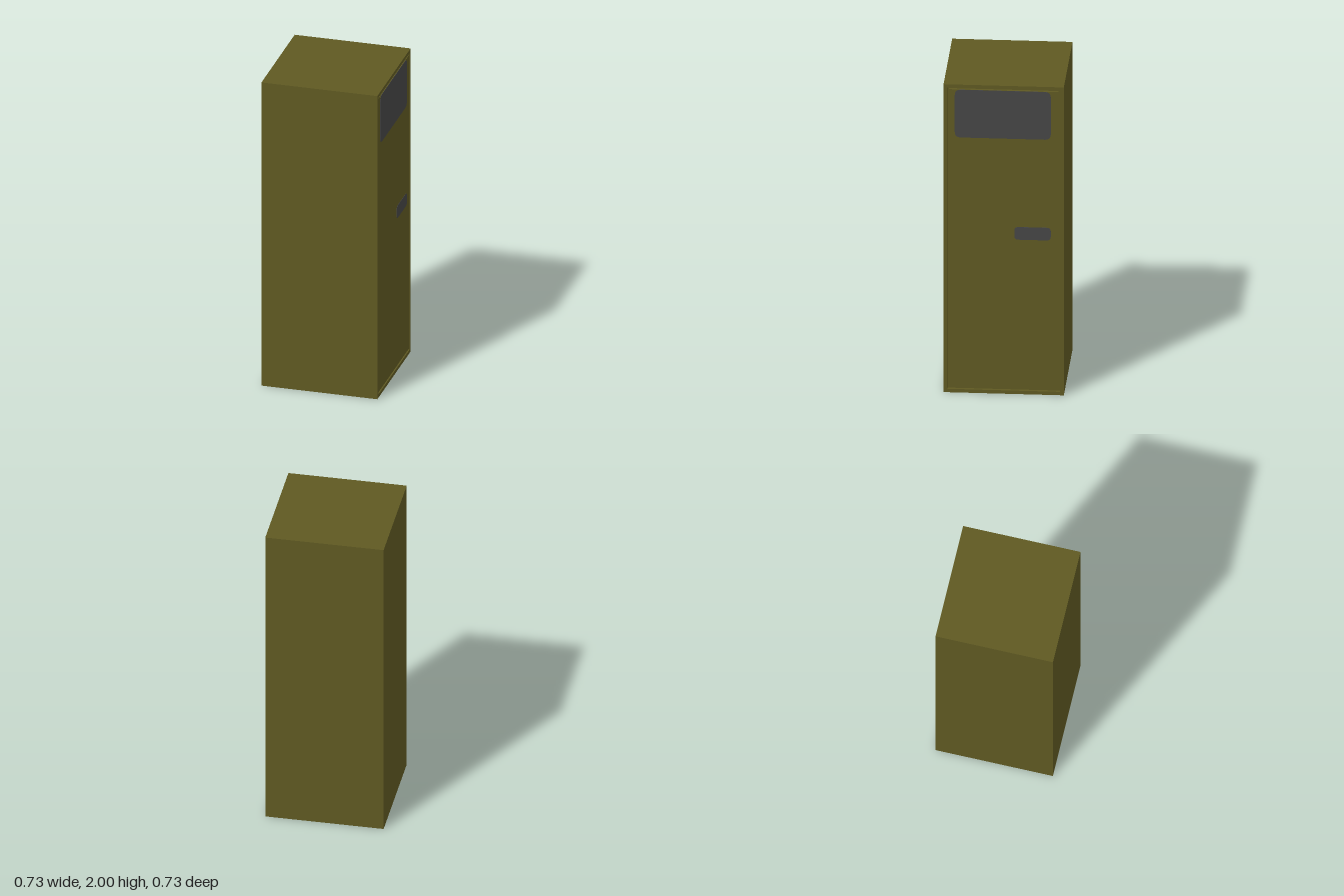
import * as THREE from 'three';

const WIDTH = 0.725, HEIGHT = 2, HALF = WIDTH / 2;
const RIM = 0.022, GAP = 0.01, RECESS = 0.02;

// Rectangle outline in the door plane: u runs towards -z, v runs up
function rectangle(target, u0, v0, u1, v1) {
  target.moveTo(u0, v0);
  target.lineTo(u1, v0);
  target.lineTo(u1, v1);
  target.lineTo(u0, v1);
  target.closePath();
  return target;
}

// Rectangle with softly rounded corners, for the painted details
function roundedRectangle(u0, v0, u1, v1, r) {
  const s = new THREE.Shape();
  s.moveTo(u0 + r, v0);
  s.lineTo(u1 - r, v0);
  s.quadraticCurveTo(u1, v0, u1, v0 + r);
  s.lineTo(u1, v1 - r);
  s.quadraticCurveTo(u1, v1, u1 - r, v1);
  s.lineTo(u0 + r, v1);
  s.quadraticCurveTo(u0, v1, u0, v1 - r);
  s.lineTo(u0, v0 + r);
  s.quadraticCurveTo(u0, v0, u0 + r, v0);
  return s;
}

export function createModel() {
  const model = new THREE.Group();
  model.name = 'locker';

  const olive = new THREE.MeshStandardMaterial({ color: 0x5f5922 });
  olive.name = 'olive paint';
  const grey = new THREE.MeshStandardMaterial({ color: 0x464646 });
  grey.name = 'dark grey';

  function add(name, geometry, material) {
    const mesh = new THREE.Mesh(geometry, material);
    mesh.name = name;
    model.add(mesh);
    return mesh;
  }

  // Closed cabinet body
  const body = add('cabinetBody', new THREE.BoxGeometry(WIDTH - RECESS, HEIGHT, WIDTH), olive);
  body.position.set(-RECESS / 2, HEIGHT / 2, 0);

  // Rim around the door on the +x side
  const rim = rectangle(new THREE.Shape(), -HALF, 0, HALF, HEIGHT);
  rim.holes.push(rectangle(new THREE.Path(), -HALF + RIM, RIM, HALF - RIM, HEIGHT - RIM));
  const frame = add('doorFrame',
    new THREE.ExtrudeGeometry(rim, { depth: RECESS, bevelEnabled: false }), olive);
  frame.rotation.y = Math.PI / 2;
  frame.position.x = HALF - RECESS;

  // Door panel, separated from the rim by a narrow groove
  const inset = 2 * (RIM + GAP);
  const door = add('door', new THREE.BoxGeometry(RECESS, HEIGHT - inset, WIDTH - inset), olive);
  door.position.set(HALF - RECESS / 2 - 0.002, HEIGHT / 2, 0);

  // Thin painted details on the door: window and handle
  const details = [
    ['window', -0.295, 1.657, 0.284, 1.967, 0.035],
    ['handle', 0.064, 1.003, 0.284, 1.085, 0.024],
  ];
  for (const [name, u0, v0, u1, v1, r] of details) {
    const plate = add(name, new THREE.ExtrudeGeometry(roundedRectangle(u0, v0, u1, v1, r),
      { depth: 0.002, bevelEnabled: false, curveSegments: 4 }), grey);
    plate.rotation.y = Math.PI / 2;
    plate.position.x = HALF - 0.002;
  }

  return model;
}
